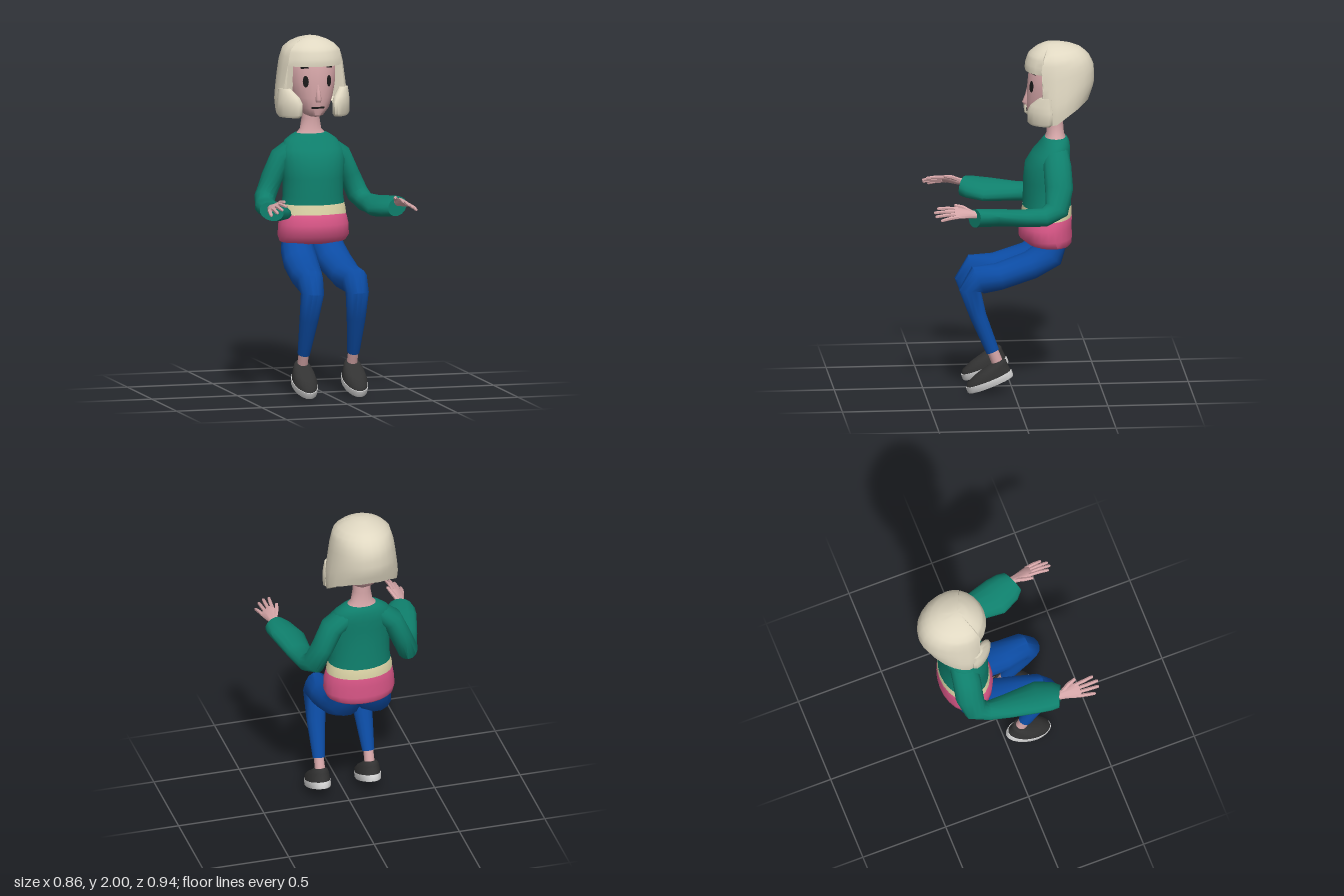
import * as THREE from 'three';
import { toCreasedNormals } from 'three/addons/utils/BufferGeometryUtils.js';

const V = (x, y, z) => new THREE.Vector3(x, y, z);
const mat = (name, color) => {
  const m = new THREE.MeshStandardMaterial({ color, side: THREE.DoubleSide });
  m.name = name;
  return m;
};

// Skins a list of point rings, closing both ends when asked
function skin(rings, capped = true, crease = 0.9, closed = true) {
  const n = rings[0].length, pos = [], idx = [];
  rings.forEach(r => r.forEach(p => pos.push(p.x, p.y, p.z)));
  for (let j = 0; j < rings.length - 1; j++)
    for (let i = 0; i < (closed ? n : n - 1); i++) {
      const k = (i + 1) % n, a = j * n + i, b = j * n + k;
      idx.push(a, b, b + n, a, b + n, a + n);
    }
  if (capped) [0, rings.length - 1].forEach((j, end) => {
    const c = rings[j].reduce((s, p) => s.add(p), V(0, 0, 0)).divideScalar(n);
    const ci = pos.length / 3;
    pos.push(c.x, c.y, c.z);
    for (let i = 0; i < n; i++) {
      const a = j * n + i, b = j * n + (i + 1) % n;
      idx.push(ci, ...(end ? [a, b] : [b, a]));
    }
  });
  const g = new THREE.BufferGeometry();
  g.setAttribute('position', new THREE.Float32BufferAttribute(pos, 3));
  g.setIndex(idx);
  return toCreasedNormals(g, crease);
}

// Horizontal ellipses stacked upward: [y, centreZ, radiusX, radiusZ]
const stack = (rows, n = 24) => skin(rows.map(([y, cz, rx, rz]) =>
  Array.from({ length: n }, (_, i) => {
    const a = i / n * Math.PI * 2;
    return V(rx * Math.sin(a), y, cz + rz * Math.cos(a));
  })));

// Ellipses across a path: [x, y, z, half width, half depth, roll]
function limb(rows, s = 1, n = 12) {
  const c = rows.map(r => V(r[0] * s, r[1], r[2]));
  return skin(rows.map((r, j) => {
    const d = c[Math.min(j + 1, c.length - 1)].clone().sub(c[Math.max(j - 1, 0)]).normalize();
    const u = d.clone().cross(V(1, 0, 0)).normalize();
    const v = u.clone().cross(d);
    const roll = (r[5] || 0) * s;
    u.applyAxisAngle(d, roll);
    v.applyAxisAngle(d, roll);
    return Array.from({ length: n }, (_, i) => {
      const a = i / n * Math.PI * 2;
      return c[j].clone().addScaledVector(v, r[3] * Math.cos(a)).addScaledVector(u, r[4] * Math.sin(a));
    });
  }));
}

// Linear lookup in rows sorted by their first value
function lookup(rows, t, col) {
  if (t <= rows[0][0]) return rows[0][col];
  for (let i = 1; i < rows.length; i++) if (t <= rows[i][0]) {
    const [a, b] = [rows[i - 1], rows[i]];
    return a[col] + (b[col] - a[col]) * (t - a[0]) / (b[0] - a[0]);
  }
  return rows[rows.length - 1][col];
}

const HEAD = [[1.55, -0.19, 0.03, 0.06], [1.56, -0.19, 0.052, 0.09], [1.6, -0.215, 0.092, 0.125],
  [1.66, -0.235, 0.118, 0.15], [1.75, -0.245, 0.138, 0.155], [1.85, -0.25, 0.14, 0.15], [1.92, -0.25, 0.1, 0.12]];

// Lays a flat geometry onto the face
function onFace(g, x, y) {
  g.translate(x, y, 0);
  const p = g.attributes.position;
  for (let i = 0; i < p.count; i++) {
    const [px, py] = [p.getX(i), p.getY(i)];
    const q = px / lookup(HEAD, py, 2);
    p.setZ(i, lookup(HEAD, py, 1) + lookup(HEAD, py, 3) * Math.sqrt(Math.max(0, 1 - q * q)) + 0.004);
  }
  g.computeVertexNormals();
  return g;
}

// Bob haircut: columns from the crown to a hem that depends on the angle
function hairCap() {
  // y, side radius, front radius, back radius
  const R = [[1.55, 0.2, 0.155, 0.13], [1.63, 0.21, 0.155, 0.175], [1.68, 0.205, 0.155, 0.2], [1.77, 0.193, 0.157, 0.23],
    [1.87, 0.178, 0.165, 0.225], [1.93, 0.16, 0.145, 0.195], [1.965, 0.118, 0.105, 0.15], [1.99, 0.06, 0.06, 0.085], [2, 0, 0, 0]];
  const hem = [[0, 1.84], [60, 1.84], [62, 1.55], [90, 1.562], [120, 1.62], [150, 1.665], [180, 1.68]];
  const half = [0, 15, 30, 45, 60, 62, 75, 90, 105, 120, 135, 150, 165];
  const angles = [...half, 180, ...half.slice(1).reverse().map(a => -a)];
  const at = (deg, y, k = 1) => {
    const a = deg * Math.PI / 180, c = Math.cos(a);
    return V(k * lookup(R, y, 1) * Math.sin(a), y, -0.24 + k * c * lookup(R, y, c > 0 ? 2 : 3));
  };
  const rings = [angles.map(d => at(d, lookup(hem, Math.abs(d), 1), 0.74))];
  for (let j = 0; j <= 12; j++) {
    const t = 1 - j / 12;
    rings.push(angles.map(d => at(d, 2 - (2 - lookup(hem, Math.abs(d), 1)) * t ** 1.6)));
  }
  return skin(rings, false, 0.9);
}

export function createModel() {
  const model = new THREE.Group();
  const hair = mat('ash blonde', 0xe0d8c2), skinTone = mat('skin', 0xd3a4a6), teal = mat('teal knit', 0x0f7f6c),
    cream = mat('cream', 0xe3dbac), pink = mat('pink', 0xdb5788), blue = mat('denim blue', 0x0c4ca4),
    black = mat('shoe black', 0x333333), white = mat('sole white', 0xdcdcdc), ink = mat('ink', 0x1c1a1a);
  const add = (name, geo, m, parent = model) => {
    const mesh = new THREE.Mesh(geo, m);
    mesh.name = name;
    parent.add(mesh);
    return mesh;
  };

  // Head and face
  add('head', stack(HEAD), skinTone);
  add('nose', stack([[1.638, -0.092, 0.014, 0.022], [1.652, -0.088, 0.018, 0.027],
    [1.7, -0.094, 0.012, 0.014], [1.75, -0.098, 0.007, 0.006]], 10), skinTone);
  add('neck', stack([[1.405, -0.245, 0.11, 0.075], [1.443, -0.248, 0.085, 0.06], [1.47, -0.248, 0.062, 0.05],
    [1.53, -0.247, 0.052, 0.046], [1.62, -0.245, 0.052, 0.046]], 16), skinTone);
  add('mouth', onFace(new THREE.PlaneGeometry(0.075, 0.011, 8, 1), 0, 1.607), ink);
  add('hair', hairCap(), hair);

  // Torso layers
  add('sweater', stack([[1.035, -0.2, 0.183, 0.139], [1.1, -0.2, 0.173, 0.135], [1.2, -0.198, 0.174, 0.132],
    [1.3, -0.203, 0.184, 0.125], [1.36, -0.225, 0.182, 0.108], [1.41, -0.245, 0.15, 0.085],
    [1.435, -0.249, 0.115, 0.073], [1.447, -0.25, 0.093, 0.064]]).deleteAttribute('uv'), teal);
  add('shirtHem', stack([[0.97, -0.196, 0.19, 0.143], [1.02, -0.2, 0.188, 0.142], [1.055, -0.2, 0.18, 0.138]]), cream);
  add('waistWrap', stack([[0.828, -0.225, 0.165, 0.105], [0.84, -0.212, 0.19, 0.127], [0.875, -0.193, 0.205, 0.15],
    [0.94, -0.19, 0.201, 0.151], [0.985, -0.196, 0.192, 0.147], [1.0, -0.197, 0.185, 0.142]]), pink);

  for (const s of [1, -1]) {
    const side = s > 0 ? 'left' : 'right';

    // Eye, brow and the lock of hair by the cheek
    add(side + 'Eye', onFace(new THREE.CircleGeometry(1, 16).scale(0.015, 0.033, 1), s * 0.068, 1.755), ink);
    add(side + 'Brow', onFace(new THREE.PlaneGeometry(0.04, 0.014, 4, 1).rotateZ(-s * 0.15), s * 0.072, 1.835), ink);
    const lock = add(side + 'HairLock', stack([[1.55, 0, 0.028, 0.066], [1.565, 0, 0.036, 0.084],
      [1.63, 0, 0.038, 0.086], [1.665, -0.008, 0.034, 0.072], [1.71, -0.035, 0.02, 0.04]], 14), hair);
    lock.position.set(s * 0.15, 0, -0.15);
    lock.rotation.y = -s * 0.7;

    // Sleeve
    add(side + 'Sleeve', limb([[0.09, 1.37, -0.24, 0.06, 0.075], [0.172, 1.31, -0.245, 0.065, 0.08],
      [0.225, 1.2, -0.25, 0.06, 0.08], [0.272, 1.09, -0.232, 0.06, 0.07], [0.293, 1.053, -0.16, 0.056, 0.054, 0.1],
      [0.308, 1.055, -0.05, 0.075, 0.05, 0.2], [0.323, 1.065, 0.12, 0.106, 0.05, 0.3],
      [0.35, 1.073, 0.2, 0.092, 0.052, 0.3], [0.368, 1.076, 0.24, 0.07, 0.052, 0.3]], s, 14), teal);

    // Hand with four fingers and a thumb
    const hand = new THREE.Group();
    hand.name = side + 'Hand';
    hand.position.set(s * 0.37, 1.1, 0.22);
    hand.rotation.z = -s * 0.55;
    model.add(hand);
    add('palm', limb([[0, -0.005, 0, 0.023, 0.018], [0, 0.003, 0.05, 0.03, 0.018],
      [0.002, 0.016, 0.11, 0.043, 0.014], [0.003, 0.018, 0.135, 0.043, 0.01]], s, 10), skinTone, hand);
    [0.23, 0.25, 0.245, 0.215].forEach((len, i) => {
      const x = -0.03 + i * 0.022, x2 = x * 1.45 + 0.004;
      add('finger', limb([[x, 0.017, 0.115, 0.0105, 0.01], [(x + x2) / 2, 0.018, (0.115 + len) / 2, 0.0105, 0.01],
        [x2, 0.012, len - 0.006, 0.009, 0.008], [x2, 0.012, len, 0.005, 0.005]], s, 6), skinTone, hand);
    });
    add('thumb', limb([[-0.012, 0.002, 0.035, 0.014, 0.013], [-0.045, 0.012, 0.085, 0.013, 0.012],
      [-0.062, 0.014, 0.13, 0.009, 0.008]], s, 6), skinTone, hand);

    // Bent leg
    add(side + 'TrouserLeg', limb([[0.085, 0.87, -0.235, 0.085, 0.075], [0.09, 0.79, -0.205, 0.095, 0.09],
      [0.1, 0.728, -0.1, 0.1, 0.08], [0.115, 0.67, 0.08, 0.09, 0.077], [0.13, 0.655, 0.2, 0.075, 0.084],
      [0.131, 0.6, 0.246, 0.067, 0.062], [0.138, 0.45, 0.2, 0.055, 0.048], [0.145, 0.243, 0.118, 0.035, 0.038]], s, 14), blue);
    add(side + 'Ankle', limb([[0.145, 0.27, 0.128, 0.029, 0.031], [0.145, 0.15, 0.08, 0.03, 0.033]], s), skinTone);

    // Slip-on shoe, toe pointing down
    const shoe = new THREE.Group();
    shoe.name = side + 'Shoe';
    shoe.position.set(s * 0.147, 0.1, 0.002);
    shoe.rotation.x = 0.37;
    model.add(shoe);
    add('sole', stack([[0, 0.135, 0.064, 0.134], [0.008, 0.135, 0.069, 0.138], [0.038, 0.135, 0.07, 0.138]], 20), white, shoe);
    add('upper', stack([[0.036, 0.135, 0.067, 0.134], [0.06, 0.13, 0.066, 0.126], [0.085, 0.1, 0.058, 0.094],
      [0.104, 0.062, 0.046, 0.058], [0.113, 0.052, 0.037, 0.042]], 20), black, shoe);
  }
  return model;
}
